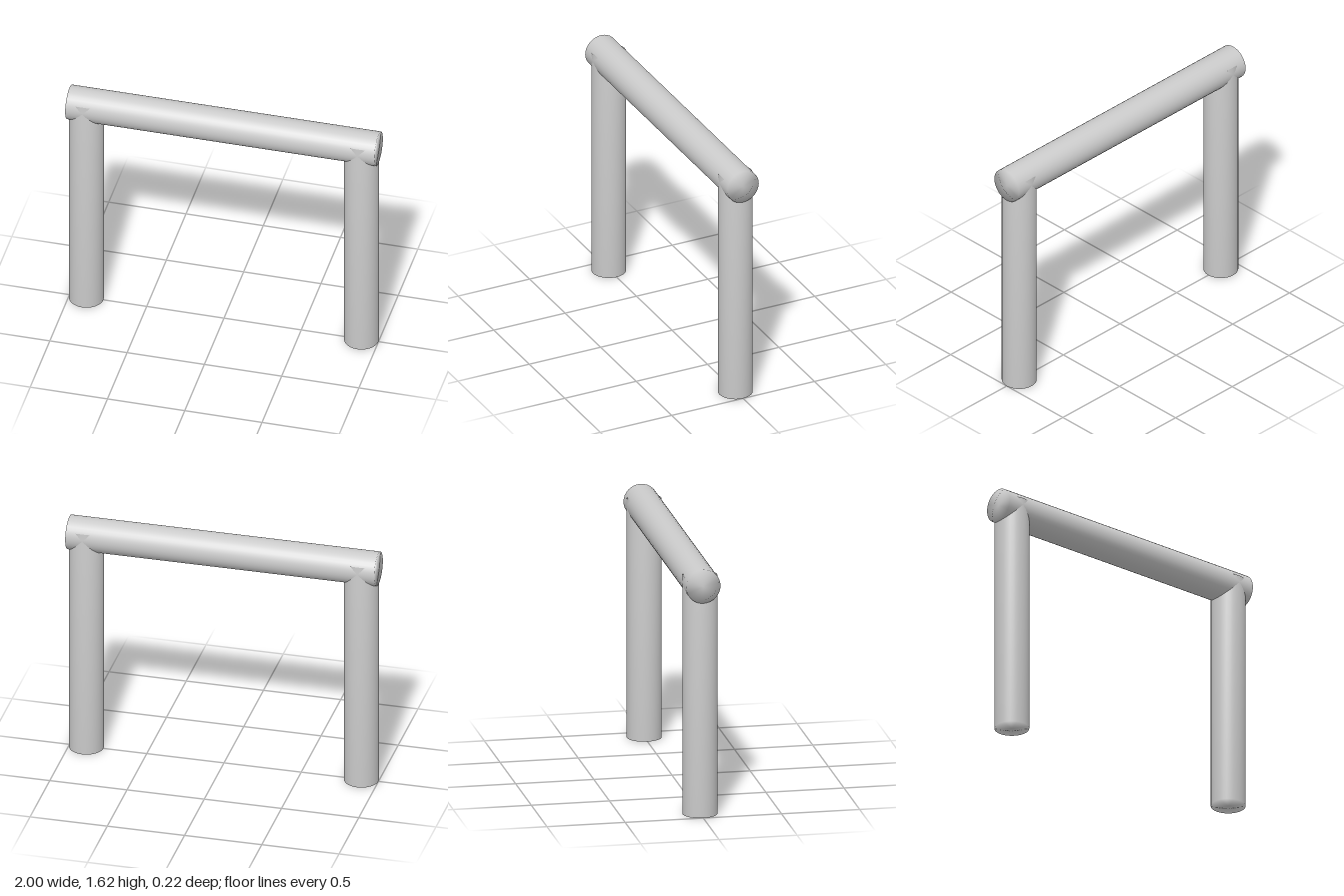
import * as THREE from 'three';
import { mergeVertices } from 'three/addons/utils/BufferGeometryUtils.js';

const RADIUS = 0.11;
const BEAM_Y = 1.51;
const POST_TOP = 1.556;

// Capped round bar whose shading runs smoothly over the end edges
function roundBar(length) {
  const geometry = new THREE.CylinderGeometry(RADIUS, RADIUS, length, 32);
  geometry.deleteAttribute('uv');
  geometry.deleteAttribute('normal');
  const welded = mergeVertices(geometry);
  welded.computeVertexNormals();
  return welded;
}

export function createModel() {
  const group = new THREE.Group();
  group.name = 'postAndBeamFrame';
  const material = new THREE.MeshStandardMaterial({ color: 0xcccccc });

  // Two upright posts, their tops running into the beam
  const postGeometry = roundBar(POST_TOP);
  for (const side of [-1, 1]) {
    const post = new THREE.Mesh(postGeometry, material);
    post.name = side > 0 ? 'leftPost' : 'rightPost';
    post.position.set(side * (1 - RADIUS), POST_TOP / 2, 0);
    group.add(post);
  }

  // Horizontal beam across the top
  const beam = new THREE.Mesh(roundBar(2), material);
  beam.name = 'crossBeam';
  beam.rotation.z = Math.PI / 2;
  beam.position.y = BEAM_Y;
  group.add(beam);

  return group;
}
